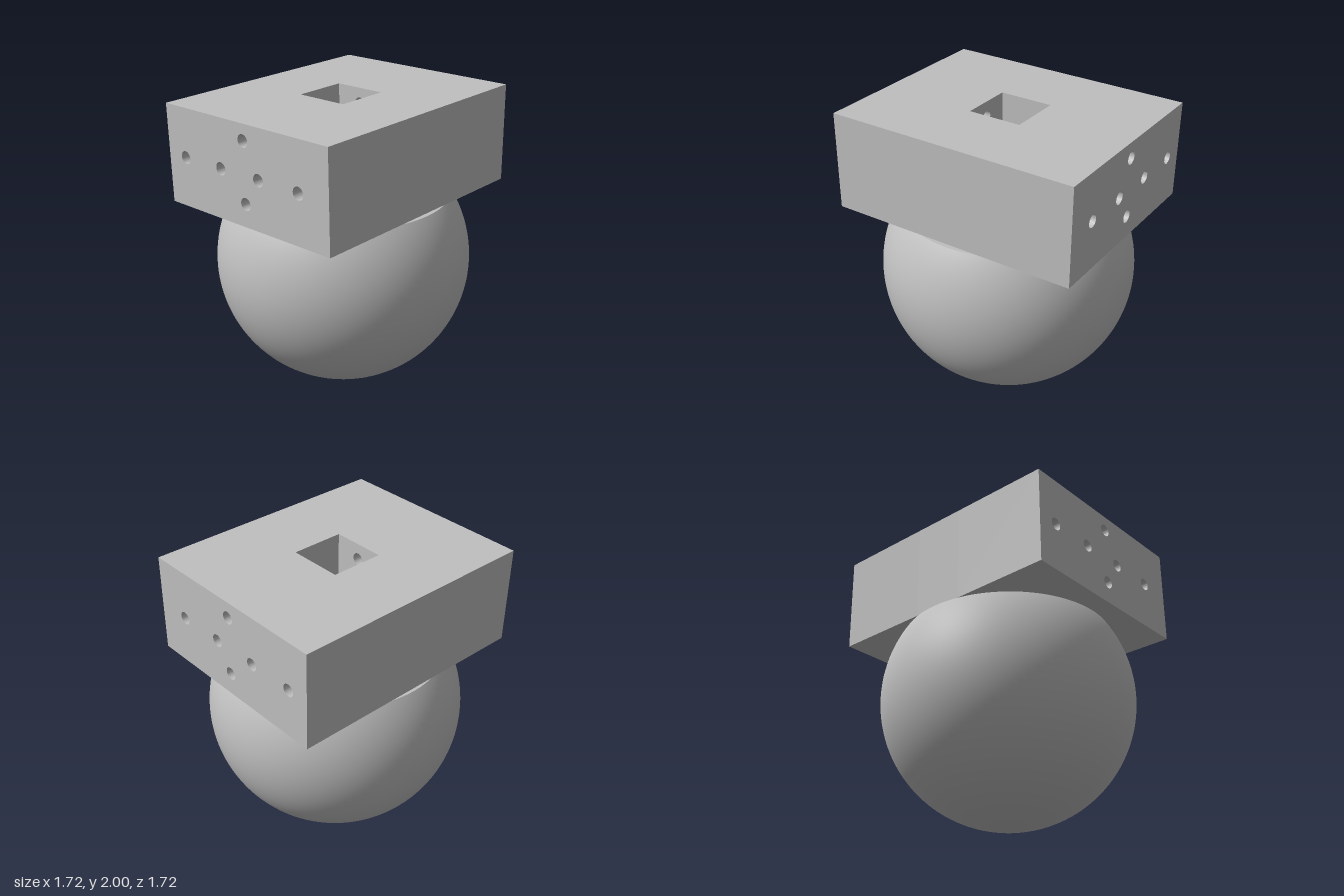
import * as THREE from 'three';
import { toCreasedNormals } from 'three/addons/utils/BufferGeometryUtils.js';

const R = 0.86;                    // ball radius
const BASE = 0.468, TOP = 1.128;   // block heights above the ball centre
const LEFT = -0.70, RIGHT = 0.69;  // block sides
const FRONT = 0.863, BACK = -0.86;
const P = 0.183;                   // half width of the square pocket
const FLOOR = -0.15;               // pocket floor
const HOLE = 0.042, ROW = 0.8;     // bore radius, height of the bore row

export function createModel() {
  const root = new THREE.Group();
  root.name = 'ballWithDrilledBlock';
  const body = new THREE.Group();
  body.name = 'tiltedBody';
  body.position.y = R;
  body.rotation.z = 0.018;
  root.add(body);

  const grey = new THREE.MeshStandardMaterial({ color: 0xc0c0c0 });
  grey.name = 'grey';

  const add = (name, geometry) => {
    const mesh = new THREE.Mesh(geometry, grey);
    mesh.name = name;
    body.add(mesh);
    return mesh;
  };
  const rect = (x0, x1, y0, y1) => new THREE.Shape([
    new THREE.Vector2(x0, y0), new THREE.Vector2(x1, y0),
    new THREE.Vector2(x1, y1), new THREE.Vector2(x0, y1),
  ]);
  const drill = (shape, points) => {
    for (const [x, y] of points) {
      shape.holes.push(new THREE.Path().absarc(x, y, HOLE, 0, Math.PI * 2, true));
    }
    return shape;
  };
  const slab = (name, shape, z0, z1) => {
    const g = new THREE.ExtrudeGeometry(shape, { depth: z1 - z0, bevelEnabled: false, curveSegments: 20 });
    add(name, toCreasedNormals(g, 0.6)).position.z = z0;
  };

  // Block: solid front and back slabs with all the bores
  const bores = [[-0.541, ROW], [-0.211, ROW], [0.119, ROW], [0.449, ROW], [0, 1.02], [0, 0.58 + 0.04]];
  slab('blockFront', drill(rect(LEFT, RIGHT, BASE, TOP), bores), P, FRONT);
  slab('blockBack', drill(rect(LEFT, RIGHT, BASE, TOP), bores), BACK, -P);

  // Block sides beside the pocket; one bore just breaks through the pocket wall
  slab('blockRightOfPocket', drill(rect(P, RIGHT, BASE, TOP), [bores[3]]), -P, P);
  const notched = new THREE.Shape();
  const a = Math.acos((-P - bores[1][0]) / HOLE);
  notched.moveTo(LEFT, BASE);
  notched.lineTo(-P, BASE);
  notched.absarc(bores[1][0], ROW, HOLE, -a, a, true);
  notched.lineTo(-P, TOP);
  notched.lineTo(LEFT, TOP);
  notched.closePath();
  slab('blockLeftOfPocket', drill(notched, [bores[0]]), -P, P);

  // Ball with its top cut flat
  const cut = Math.acos(BASE / R);
  add('ball', new THREE.SphereGeometry(R, 96, 64, 0, Math.PI * 2, cut, Math.PI - cut));
  const lid = new THREE.Shape().absarc(0, 0, R * Math.sin(cut), 0, Math.PI * 2, false);
  lid.holes.push(rect(-P, P, -P, P));
  const lidMesh = add('ballFlatTop', new THREE.ShapeGeometry(lid, 96));
  lidMesh.rotation.x = -Math.PI / 2;
  lidMesh.position.y = BASE - 0.001;

  // Pocket continuing down into the ball: four inward walls and a floor
  const depth = BASE - FLOOR;
  for (let i = 0; i < 4; i++) {
    const wall = new THREE.PlaneGeometry(2 * P, depth);
    wall.translate(0, FLOOR + depth / 2, -P);
    wall.rotateY(i * Math.PI / 2);
    add('pocketWall', wall);
  }
  const floor = new THREE.PlaneGeometry(2 * P, 2 * P);
  floor.rotateX(-Math.PI / 2);
  add('pocketFloor', floor).position.y = FLOOR;

  return root;
}
